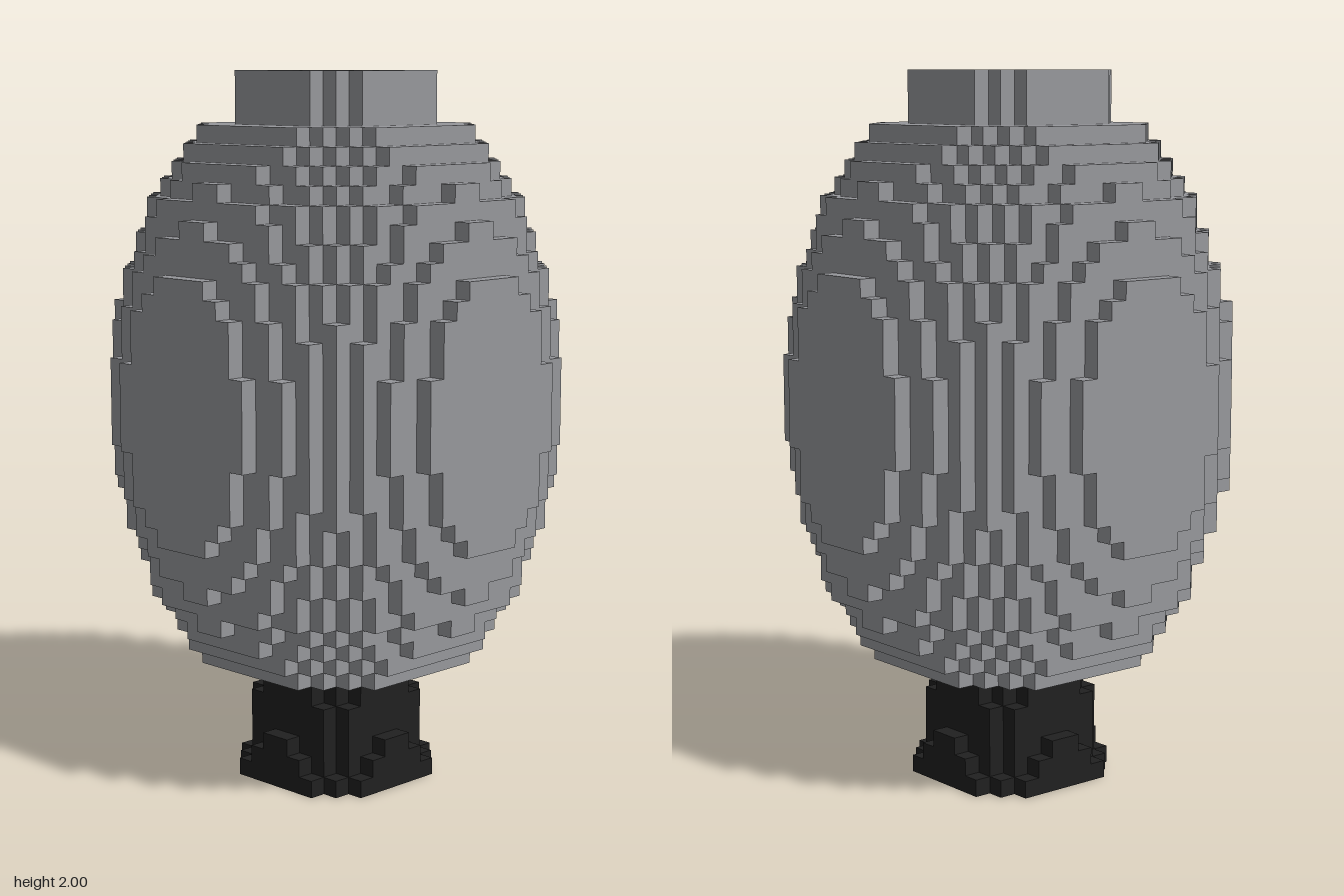
import * as THREE from 'three';

const S = 2 / 41; // cube size: 41 layers make the full height
const REACH = 13; // half width of the searched grid, in cubes

// Six cube sides: outward normal plus two edge directions (u x v = normal)
const SIDES = [
  [[1, 0, 0], [0, 1, 0], [0, 0, 1]],
  [[-1, 0, 0], [0, 0, 1], [0, 1, 0]],
  [[0, 1, 0], [0, 0, 1], [1, 0, 0]],
  [[0, -1, 0], [1, 0, 0], [0, 0, 1]],
  [[0, 0, 1], [1, 0, 0], [0, 1, 0]],
  [[0, 0, -1], [0, 1, 0], [1, 0, 0]],
];

// Mesh of the exposed cube faces of a solid given by filled(x, y, z)
function voxelMesh(name, material, y0, y1, filled) {
  const solid = (x, y, z) => y >= y0 && y < y1 && filled((x + 0.5) ** 2 + (z + 0.5) ** 2, y);
  const pos = [], nor = [], index = [];
  for (let y = y0; y < y1; y++)
    for (let x = -REACH; x < REACH; x++)
      for (let z = -REACH; z < REACH; z++) {
        if (!solid(x, y, z)) continue;
        for (const [n, u, v] of SIDES) {
          if (solid(x + n[0], y + n[1], z + n[2])) continue;
          const centre = [x + 0.5, y + 0.5, z + 0.5];
          const first = pos.length / 3;
          for (const [a, b] of [[-1, -1], [1, -1], [1, 1], [-1, 1]]) {
            for (let k = 0; k < 3; k++) pos.push((centre[k] + (n[k] + a * u[k] + b * v[k]) / 2) * S);
            nor.push(...n);
          }
          index.push(first, first + 1, first + 2, first, first + 2, first + 3);
        }
      }
  const geometry = new THREE.BufferGeometry();
  geometry.setAttribute('position', new THREE.Float32BufferAttribute(pos, 3));
  geometry.setAttribute('normal', new THREE.Float32BufferAttribute(nor, 3));
  geometry.setIndex(index);
  const mesh = new THREE.Mesh(geometry, material);
  mesh.name = name;
  return mesh;
}

export function createModel() {
  const grey = new THREE.MeshStandardMaterial({ color: 0x96979b });
  grey.name = 'grey';
  const black = new THREE.MeshStandardMaterial({ color: 0x202020 });
  black.name = 'black';

  const model = new THREE.Group();
  model.name = 'blockyBulb';

  // Stem with a flange that widens towards the ground and a shallow recess below
  const stemRadiusSq = [29, 24, 21, 19, 19, 15, 15];
  model.add(voxelMesh('stem', black, 0, 7,
    (r2, y) => r2 <= stemRadiusSq[y] && !(y === 0 && r2 < 13.5)));

  // Stepped ellipsoid body, cut flat at both ends, with an open round neck on top
  const bodyFilled = (r2, y) => r2 / 156.25 + (y - 22) ** 2 / 352.2 <= 1;
  const neckFilled = (r2, y) => r2 < 29 && !(y >= 39 && r2 < 13.5);
  model.add(voxelMesh('bodyAndNeck', grey, 7, 41,
    (r2, y) => (y < 38 ? bodyFilled(r2, y) : neckFilled(r2, y))));

  return model;
}
